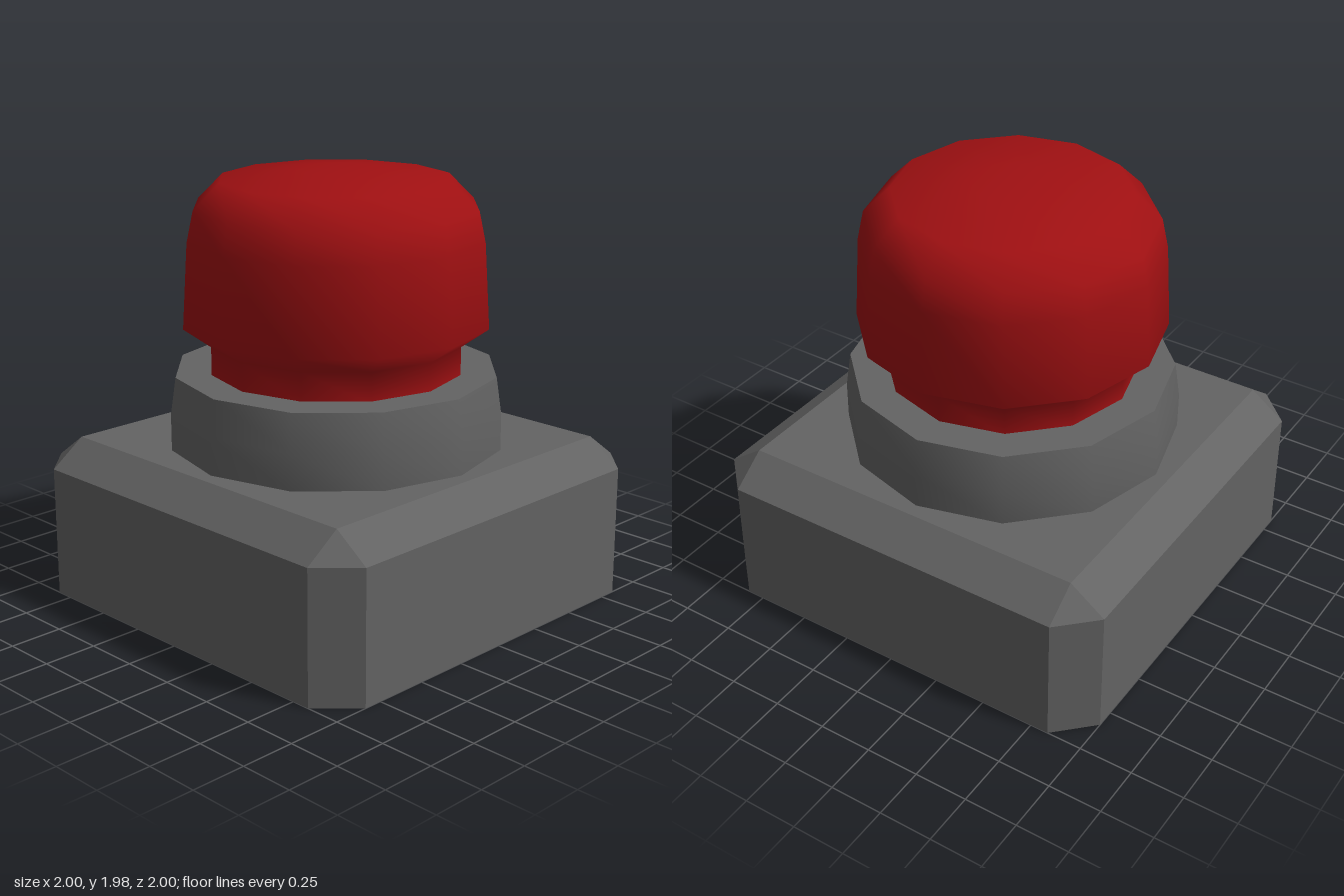
import * as THREE from 'three';
import { toCreasedNormals } from 'three/addons/utils/BufferGeometryUtils.js';
import { ConvexGeometry } from 'three/addons/geometries/ConvexGeometry.js';

const SIDES = 12;

// Turned part from [radius, height] pairs, listed bottom to top
function turned(profile) {
  return new THREE.LatheGeometry(profile.map(([r, y]) => new THREE.Vector2(r, y)), SIDES);
}

function addPart(group, name, geometry, color) {
  const mesh = new THREE.Mesh(geometry, new THREE.MeshStandardMaterial({ color }));
  mesh.name = name;
  group.add(mesh);
}

export function createModel() {
  const group = new THREE.Group();
  group.name = 'pushButton';
  const darkGrey = 0x636363, red = 0xa01012;

  // Base: block with cut corners, its top edge bevelled to a square
  const outer = 1, inner = 0.835, corners = [];
  for (const sx of [-1, 1]) {
    for (const sz of [-1, 1]) {
      for (const y of [0, 0.61]) {
        corners.push(new THREE.Vector3(sx * outer, y, sz * inner));
        corners.push(new THREE.Vector3(sx * inner, y, sz * outer));
      }
      corners.push(new THREE.Vector3(sx * inner, 0.73, sz * inner));
    }
  }
  addPart(group, 'base', new ConvexGeometry(corners), darkGrey);

  // Collar: smooth wall with a slight taper and a sharp flat rim
  const collar = turned([[0.77, 0.73], [0.77, 0.9], [0.745, 1.07], [0.5, 1.07]]);
  addPart(group, 'collar', toCreasedNormals(collar, 0.7), darkGrey);

  // Button: neck, flared lip, rounded cap and shallow dome
  const button = turned([
    [0.58, 1.06], [0.58, 1.2], [0.705, 1.29], [0.68, 1.68],
    [0.65, 1.82], [0.53, 1.94], [0.18, 1.98], [0, 1.98],
  ]);
  addPart(group, 'button', button, red);

  return group;
}
